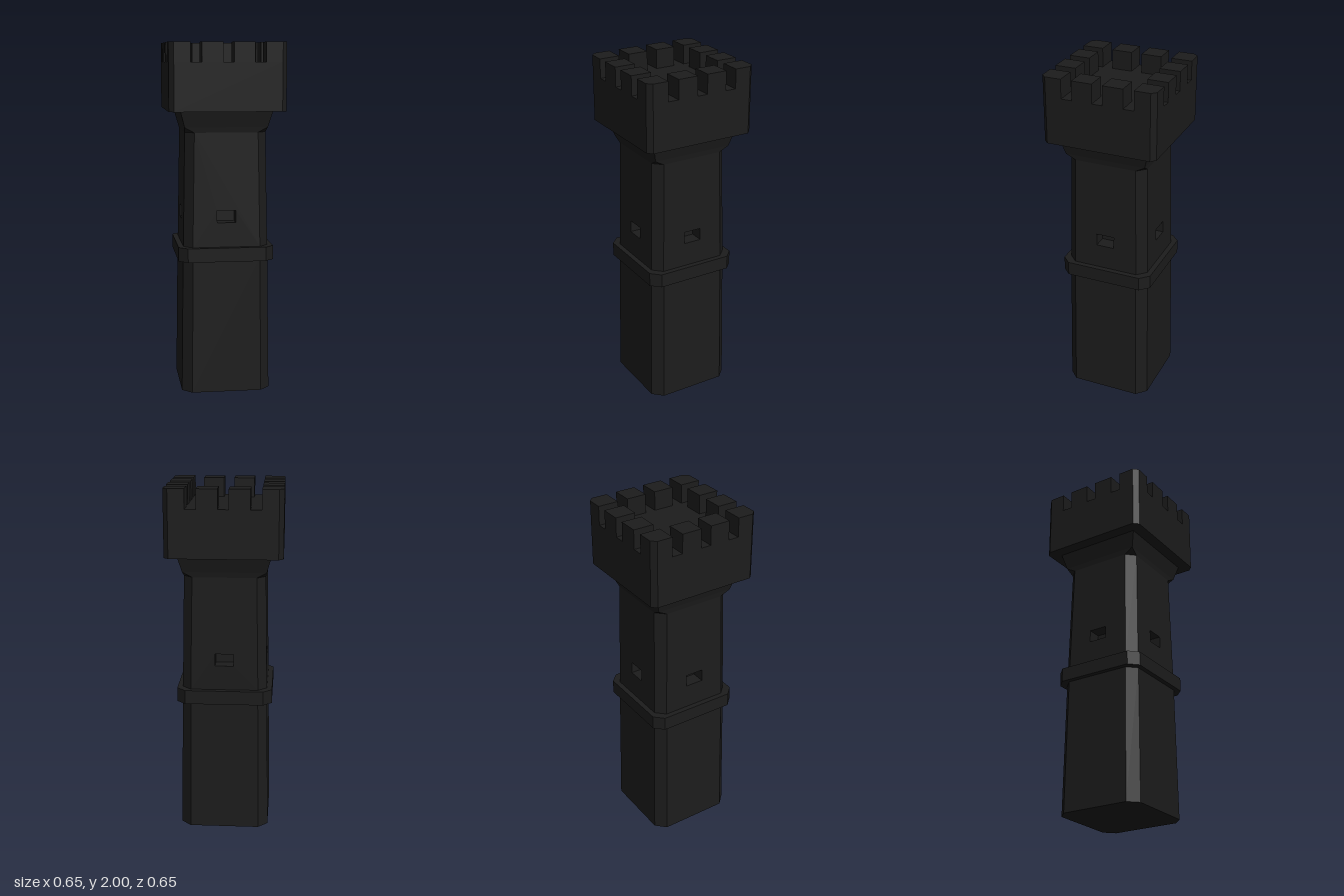
import * as THREE from 'three';

const stone = new THREE.MeshStandardMaterial({ color: 0x1c1c1c, flatShading: true });
const recess = new THREE.MeshStandardMaterial({ color: 0x1c1c1c, flatShading: true, side: THREE.BackSide });

// Square ring with chamfered corners: h = half width, c = chamfer
function ring([y, h, c]) {
  const pts = [];
  for (let k = 0; k < 4; k++) {
    for (const x of [-(h - c), h - c]) {
      pts.push(new THREE.Vector3(x, y, h).applyAxisAngle(new THREE.Vector3(0, 1, 0), k * Math.PI / 2));
    }
  }
  return pts;
}

// Skin between rings, with optional end caps; cornersOnly leaves the four main sides open
function loft(levels, { bottom = false, top = false, cornersOnly = false } = {}) {
  const rings = levels.map(ring);
  const tris = [];
  for (let r = 0; r < rings.length - 1; r++) {
    for (let i = 0; i < 8; i++) {
      if (cornersOnly && i % 2 === 0) continue;
      const j = (i + 1) % 8, lo = rings[r], hi = rings[r + 1];
      tris.push(lo[i], lo[j], hi[j], lo[i], hi[j], hi[i]);
    }
  }
  const cap = (pts, up) => {
    const centre = new THREE.Vector3(0, pts[0].y, 0);
    pts.forEach((p, i) => {
      const q = pts[(i + 1) % 8];
      tris.push(centre, up ? p : q, up ? q : p);
    });
  };
  if (bottom) cap(rings[0], false);
  if (top) cap(rings.at(-1), true);
  const geo = new THREE.BufferGeometry().setFromPoints(tris);
  geo.computeVertexNormals();
  return geo;
}

export function createModel() {
  const tower = new THREE.Group();
  tower.name = 'tower';
  const add = (name, geo, parent = tower, mat = stone) => {
    const mesh = new THREE.Mesh(geo, mat);
    mesh.name = name;
    parent.add(mesh);
    return mesh;
  };

  // Main masses
  add('lowerShaft', loft([[0, 0.255, 0.055], [0.78, 0.244, 0.052]], { bottom: true }));
  add('stringCourse', loft([[0.77, 0.272, 0.05], [0.85, 0.272, 0.05]], { bottom: true, top: true }));
  const y0 = 0.85, y1 = 1.5, h0 = 0.242, h1 = 0.23, c = 0.05;
  add('upperShaftCorners', loft([[y0, h0, c], [y1, h1, c]], { cornersOnly: true }));
  add('corbel', loft([[y1, h1, c], [1.53, 0.235, 0], [1.62, 0.26, 0]]));
  add('parapet', loft([[1.62, 0.327, 0.027], [1.89, 0.327, 0.027]], { bottom: true, top: true }));

  // Upper shaft wall with a window hole, tilted to follow the taper
  const wallZ = y => THREE.MathUtils.mapLinear(y, y0, y1, h0, h1);
  const w = 0.053, wy0 = 0.99, wy1 = 1.06, depth = 0.08;
  const v = (x, y) => new THREE.Vector2(x, y);
  const wallShape = new THREE.Shape([v(c - h0, y0), v(h0 - c, y0), v(h1 - c, y1), v(c - h1, y1)]);
  wallShape.holes.push(new THREE.Path([v(-w, wy0), v(-w, wy1), v(w, wy1), v(w, wy0)]));
  const wall = new THREE.ShapeGeometry(wallShape);
  let pos = wall.attributes.position;
  for (let i = 0; i < pos.count; i++) pos.setZ(i, wallZ(pos.getY(i)));
  wall.computeVertexNormals();

  // Window recess: inside of a box, open at the front
  const niche = new THREE.BoxGeometry(2 * w, wy1 - wy0, depth);
  niche.translate(0, (wy0 + wy1) / 2, 0);
  pos = niche.attributes.position;
  for (let i = 0; i < pos.count; i++) {
    pos.setZ(i, wallZ(pos.getY(i)) - (pos.getZ(i) > 0 ? 0 : depth));
  }
  const faces = Array.from(niche.index.array);
  faces.splice(24, 6);
  niche.setIndex(faces);
  niche.clearGroups();

  // Merlons: two per side plus a chamfered one at each corner
  const inner = 0.208, outer = 0.327, mh = 0.11;
  const merlon = new THREE.BoxGeometry(0.117, mh, outer - inner);
  const cornerMerlon = new THREE.ExtrudeGeometry(new THREE.Shape([
    v(inner, inner), v(outer, inner), v(outer, 0.3), v(0.3, outer), v(inner, outer),
  ]), { depth: mh, bevelEnabled: false });
  cornerMerlon.rotateX(-Math.PI / 2);

  for (let k = 0; k < 4; k++) {
    const side = new THREE.Group();
    side.name = 'side' + (k + 1);
    side.rotation.y = k * Math.PI / 2;
    tower.add(side);
    add('upperShaftWall', wall, side);
    add('windowRecess', niche, side, recess);
    for (const s of [-1, 1]) {
      add('merlon', merlon, side).position.set(s * 0.0885, 1.89 + mh / 2, (inner + outer) / 2);
    }
    add('cornerMerlon', cornerMerlon, side).position.y = 1.89;
  }
  return tower;
}
